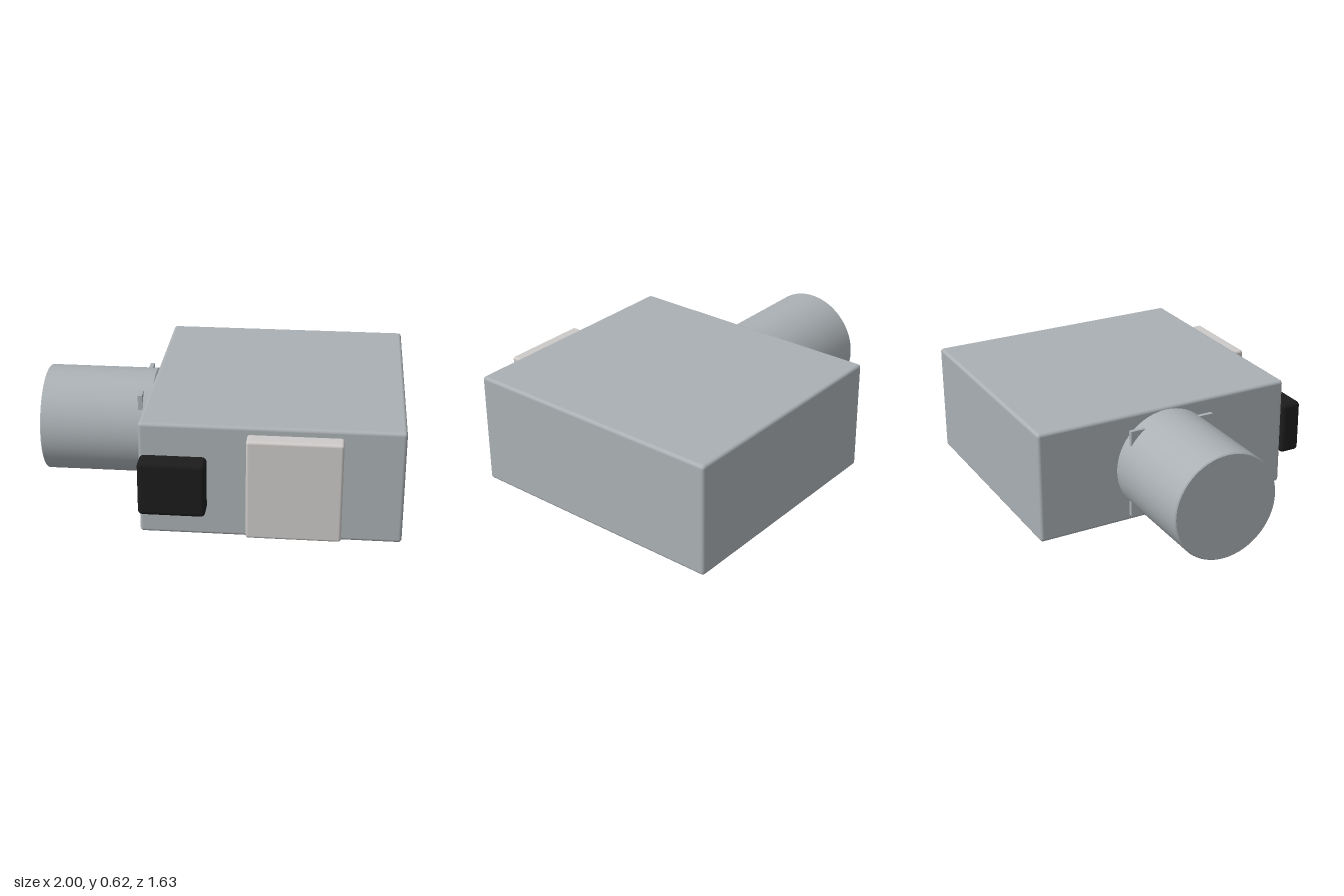
import * as THREE from 'three';
import { RoundedBoxGeometry } from 'three/addons/geometries/RoundedBoxGeometry.js';

const material = (color) => new THREE.MeshStandardMaterial({ color });

// Rounded box given by its min and max corners
function block(name, min, max, radius, mat) {
  const size = max.map((v, i) => v - min[i]);
  const mesh = new THREE.Mesh(new RoundedBoxGeometry(...size, 4, radius), mat);
  mesh.position.set(...max.map((v, i) => (v + min[i]) / 2));
  mesh.name = name;
  return mesh;
}

export function createModel() {
  const model = new THREE.Group();
  model.name = 'boxWithDuct';
  const metal = material(0xaab0b4);
  const panel = material(0xcdcac8);
  const black = material(0x1c1c1c);

  // Main housing with the cover and control box on its front
  model.add(
    block('housing', [-0.375, 0, -0.815], [1, 0.625, 0.68], 0.018, metal),
    block('frontCover', [0.19, 0.04, 0.68], [0.685, 0.59, 0.778], 0.015, panel),
    block('controlBox', [-0.365, 0.165, 0.695], [-0.015, 0.465, 0.815], 0.025, black),
  );

  // Round duct on the right side, with slightly eased rims
  const r = 0.297, length = 0.622, bevel = 0.006;
  const ringProfile = [[r - bevel, 0], [r, bevel], [r, length - bevel], [r - bevel, length]];
  const duct = new THREE.Group();
  duct.name = 'duct';
  duct.position.set(-0.378, 0.317, -0.07);
  duct.rotation.z = Math.PI / 2;
  // Each straight run is its own lathe so the edges stay sharp
  for (let i = 0; i < 3; i++) {
    const run = ringProfile.slice(i, i + 2).map(([x, y]) => new THREE.Vector2(x, y));
    const wall = new THREE.Mesh(new THREE.LatheGeometry(run, 64), metal);
    wall.name = i === 1 ? 'ductWall' : 'ductRim';
    duct.add(wall);
  }
  for (const end of [0, 1]) {
    const cap = new THREE.Mesh(new THREE.CircleGeometry(r - bevel, 64), metal);
    cap.name = 'ductCap';
    cap.position.y = end * length;
    cap.rotation.x = end ? -Math.PI / 2 : Math.PI / 2;
    duct.add(cap);
  }
  model.add(duct);

  // Four small lugs whose outer corners stand out of the duct
  for (const sy of [-1, 1]) {
    for (const sz of [-1, 1]) {
      const lug = new THREE.Mesh(new THREE.BoxGeometry(0.023, 0.09, 0.09), metal);
      lug.name = 'ductLug';
      lug.position.set(-0.442, 0.317 + sy * 0.203, -0.07 + sz * 0.203);
      model.add(lug);
    }
  }
  return model;
}
